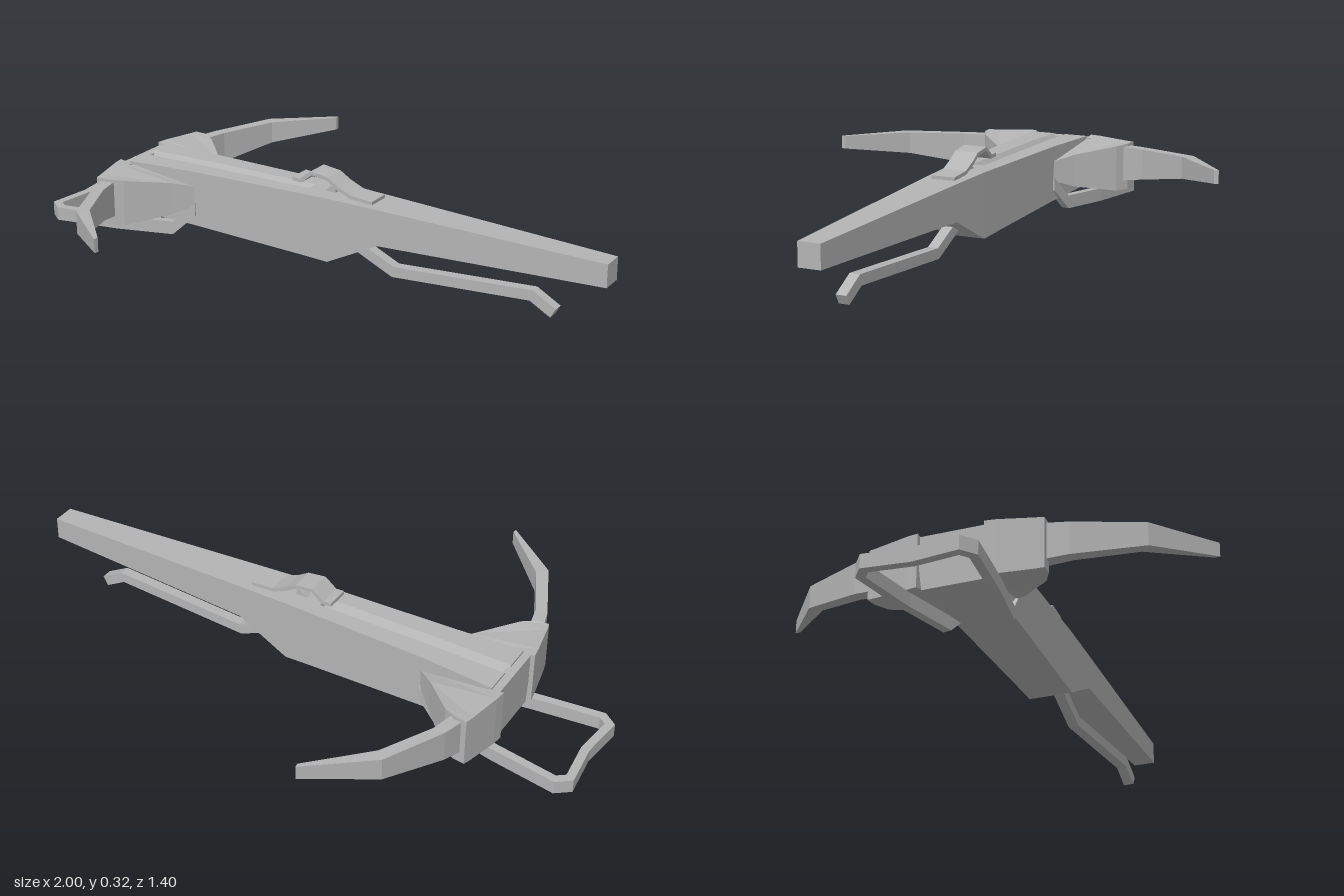
import * as THREE from 'three';

// Closed solid through equal-length rings of [x, y, z]; end caps fan from the first ring point.
function loft(rings) {
  const tris = [];
  const n = rings[0].length;
  for (let r = 0; r < rings.length - 1; r++) {
    for (let i = 0; i < n; i++) {
      const j = (i + 1) % n;
      const a = rings[r][i], b = rings[r][j], c = rings[r + 1][j], d = rings[r + 1][i];
      tris.push([a, b, c], [a, c, d]);
    }
  }
  const first = rings[0], last = rings[rings.length - 1];
  for (let i = 1; i < n - 1; i++) {
    tris.push([first[0], first[i + 1], first[i]], [last[0], last[i], last[i + 1]]);
  }
  // Signed volume decides the winding, so mirrored rings also face outward.
  let volume = 0;
  for (const [a, b, c] of tris) {
    volume += a[0] * (b[1] * c[2] - b[2] * c[1]) + a[1] * (b[2] * c[0] - b[0] * c[2]) + a[2] * (b[0] * c[1] - b[1] * c[0]);
  }
  const flat = tris.flatMap(([a, b, c]) => (volume < 0 ? [...a, ...c, ...b] : [...a, ...b, ...c]));
  const geo = new THREE.BufferGeometry();
  geo.setAttribute('position', new THREE.Float32BufferAttribute(flat, 3));
  geo.computeVertexNormals();
  return geo;
}

// Rectangular bar along a bent path, mitred at the bends; "depth" runs along the axis "up".
function bar(path, thick, depth, up) {
  const pts = path.map((p) => new THREE.Vector3(...p));
  const side = (a, b) => new THREE.Vector3().subVectors(b, a).cross(up).normalize();
  return loft(pts.map((p, i) => {
    const before = side(pts[Math.max(i - 1, 0)], pts[Math.max(i, 1)]);
    const after = side(pts[Math.min(i, pts.length - 2)], pts[Math.min(i + 1, pts.length - 1)]);
    const mitre = before.clone().add(after).normalize();
    mitre.multiplyScalar(thick / 2 / mitre.dot(after));
    return [[-1, -1], [1, -1], [1, 1], [-1, 1]].map(([s, u]) =>
      p.clone().addScaledVector(mitre, s).addScaledVector(up, u * depth / 2).toArray());
  }));
}

export function createModel() {
  const model = new THREE.Group();
  model.name = 'crossbow';
  const grey = new THREE.MeshStandardMaterial({ color: 0xb4b4b4 });
  grey.name = 'plain grey';
  const add = (name, geo) => {
    const mesh = new THREE.Mesh(geo, grey);
    mesh.name = name;
    model.add(mesh);
  };
  const Y = new THREE.Vector3(0, 1, 0);
  const Z = new THREE.Vector3(0, 0, 1);

  // Stock with a V-shaped bolt groove: x, top, bottom, half width, groove depth
  const stations = [
    [-0.69, 0.252, 0.08, 0.107, 0.025],
    [-0.45, 0.255, 0.068, 0.09, 0.025],
    [-0.04, 0.255, 0.046, 0.076, 0.025],
    [-0.04, 0.255, 0.046, 0.076, 0],
    [0.06, 0.255, 0.04, 0.073, 0],
    [0.24, 0.25, 0.13, 0.066, 0],
    [1, 0.225, 0.15, 0.037, 0],
  ];
  add('stock', loft(stations.map(([x, top, bottom, w, d]) => [
    [x, top - d, 0], [x, top, 0.022], [x, top, w], [x, bottom, w],
    [x, bottom, -w], [x, top, -w], [x, top, -0.022],
  ])));

  // Plate closing the front of the stock
  add('frontPlate', loft([-0.716, -0.68].map((x) => [
    [x, 0.07, -0.095], [x, 0.07, 0.095], [x, 0.245, 0.118], [x, 0.245, -0.118],
  ])));

  for (const s of [1, -1]) {
    const label = s > 0 ? 'left' : 'right';

    // Faceted limb mount: front x, rear x, front bottom/top, rear bottom/top, front z, rear z
    const mount = [
      [-0.73, -0.43, 0.075, 0.25, 0.14, 0.2, 0.105, 0.08],
      [-0.725, -0.5, 0.075, 0.25, 0.11, 0.22, 0.14, 0.14],
      [-0.702, -0.61, 0.08, 0.245, 0.085, 0.24, 0.25, 0.25],
      [-0.695, -0.655, 0.083, 0.245, 0.085, 0.245, 0.278, 0.275],
    ];
    add(label + 'LimbMount', loft(mount.map(([xf, xr, fb, ft, rb, rt, zf, zr]) => [
      [xf, fb, s * zf], [xr, rb, s * zr], [xr, rt, s * zr], [xf, ft, s * zf],
    ])));

    // Swept-back limb: front x, front z, rear x, rear z, bottom, top
    const limb = [
      [-0.685, 0.25, -0.64, 0.25, 0.115, 0.235],
      [-0.66, 0.34, -0.62, 0.34, 0.13, 0.235],
      [-0.565, 0.545, -0.535, 0.515, 0.165, 0.24],
      [-0.37, 0.7, -0.368, 0.685, 0.195, 0.24],
    ];
    add(label + 'Limb', loft(limb.map(([xf, zf, xr, zr, b, t]) => [
      [xf, b, s * zf], [xr, b, s * zr], [xr, t, s * zr], [xf, t, s * zf],
    ])));
  }

  // Foot stirrup, half path mirrored across the middle
  const half = [
    [-0.44, 0.125, 0.082], [-0.52, 0.05, 0.1], [-0.72, 0.042, 0.14],
    [-0.945, 0.037, 0.171], [-0.981, 0.037, 0.143],
  ];
  const mirrored = half.map(([x, y, z]) => [x, y, -z]).reverse();
  add('stirrup', bar([...half, [-0.965, 0.037, 0], ...mirrored], 0.028, 0.045, Y));

  // Long trigger lever beneath the stock
  add('triggerLever', bar([
    [0.11, 0.105, 0], [0.27, 0.032, 0], [0.75, 0.062, 0], [0.825, 0.02, 0],
  ], 0.035, 0.035, Z));

  // Thin bent bolt clip and the catch under it
  add('boltClip', bar([
    [-0.09, 0.284, 0], [-0.06, 0.282, 0], [-0.02, 0.314, 0], [0.04, 0.306, 0],
    [0.075, 0.284, 0], [0.125, 0.262, 0], [0.205, 0.256, 0],
  ], 0.012, 0.08, Z));
  add('catch', loft([-0.012, 0.012].map((z) => [
    [0.01, 0.25, z], [0.055, 0.25, z], [0.055, 0.28, z], [0.03, 0.268, z],
  ])));

  return model;
}
